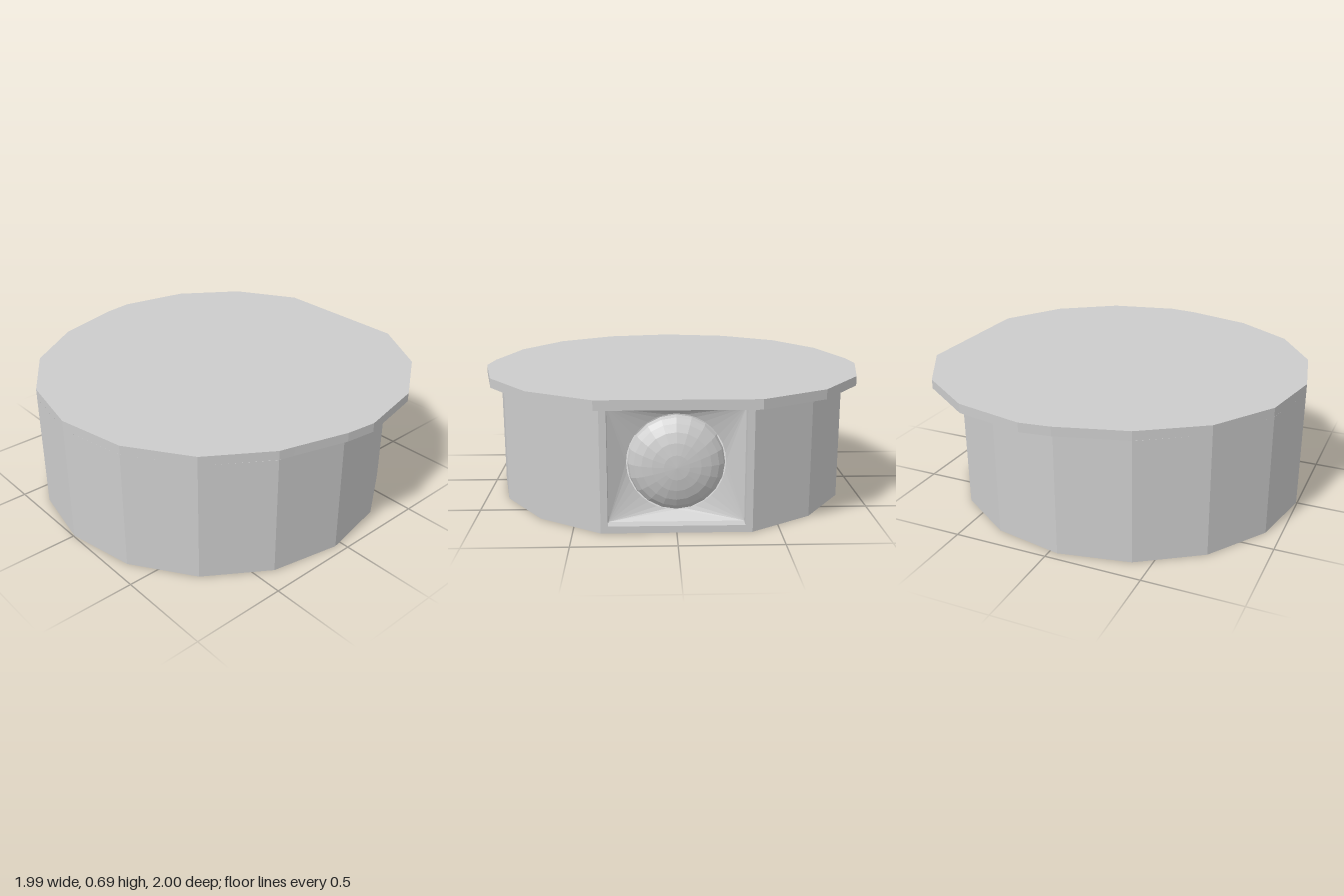
import * as THREE from 'three';

const mat = (flat) => new THREE.MeshStandardMaterial({ color: 0xcccccc, flatShading: flat, side: THREE.DoubleSide });
const add = (parent, name, geo, flat = true) => {
  const m = new THREE.Mesh(geo, mat(flat));
  m.name = name;
  parent.add(m);
  return m;
};

// Square-to-round funnel: corner fans joined by one flat triangle per side
function funnel(hw, hh, r, zOuter, zInner, perQuarter) {
  const corners = [[hw, hh], [-hw, hh], [-hw, -hh], [hw, -hh]].map(([x, y]) => new THREE.Vector3(x, y, zOuter));
  const rim = (i) => {
    const a = (i / perQuarter) * Math.PI / 2;
    return new THREE.Vector3(Math.cos(a) * r, Math.sin(a) * r, zInner);
  };
  const pts = [];
  corners.forEach((c, q) => {
    for (let i = 0; i < perQuarter; i++) pts.push(c, rim(q * perQuarter + i + 1), rim(q * perQuarter + i));
    pts.push(c, corners[(q + 1) % 4], rim((q + 1) * perQuarter));
  });
  const g = new THREE.BufferGeometry().setFromPoints(pts);
  g.computeVertexNormals();
  return g;
}

export function createModel() {
  const group = new THREE.Group();
  const R = 0.953, CX = -0.042, H = 0.64, STEP = Math.PI / 8;

  // Sixteen-sided drum with two sides replaced by the flat lamp face
  const wall = new THREE.CylinderGeometry(R, R, H, 14, 1, true, 5 * STEP, 14 * STEP);
  wall.translate(CX, H / 2, 0);
  add(group, 'drumWall', wall);

  const plan = [];
  for (let i = 1; i < 16; i++) plan.push(new THREE.Vector2(CX + R * Math.cos(i * STEP), R * Math.sin(i * STEP)));
  add(group, 'drumFloor', new THREE.ShapeGeometry(new THREE.Shape(plan)).rotateX(Math.PI / 2));

  // Lid: follows the drum at one end and overhangs the lamp at the other
  const half = [[0.99, 0.38], [0.79, 0.705], [0.48, 0.92], [0.11, 1], [-0.05, 0.98],
    [-0.33, 0.9], [-0.405, 0.88], [-0.716, 0.674], [-0.922, 0.365]];
  const outline = [...half, [CX - R, 0], ...half.slice().reverse().map(([x, z]) => [x, -z])];
  const lid = new THREE.ExtrudeGeometry(new THREE.Shape(outline.map((p) => new THREE.Vector2(...p))),
    { depth: 0.048, bevelEnabled: false });
  lid.rotateX(-Math.PI / 2).translate(0, H, 0);
  add(group, 'lid', lid);

  // Lamp recess, built facing +z and turned to +x
  const lamp = new THREE.Group();
  lamp.name = 'lamp';
  lamp.position.set(CX + R * Math.cos(STEP), H / 2, 0);
  lamp.rotation.y = Math.PI / 2;
  group.add(lamp);

  const rect = (w, h, Type) => new Type([[-w, -h], [w, -h], [w, h], [-w, h]].map((p) => new THREE.Vector2(...p)));
  const face = rect(R * Math.sin(STEP), H / 2, THREE.Shape);
  face.holes.push(rect(0.33, 0.285, THREE.Path));
  const frame = new THREE.ExtrudeGeometry(face, { depth: 0.06, bevelEnabled: false });
  add(lamp, 'lampFrame', frame.translate(0, 0, -0.06));

  add(lamp, 'reflector', funnel(0.33, 0.285, 0.242, -0.06, -0.11, 8), false);

  // Shallow domed lens
  const lens = new THREE.SphereGeometry(0.237, 20, 6, 0, Math.PI * 2, 0, Math.PI / 2);
  lens.rotateX(Math.PI / 2).scale(1, 1, 0.42).translate(0, 0, -0.11);
  add(lamp, 'lens', lens);

  return group;
}
